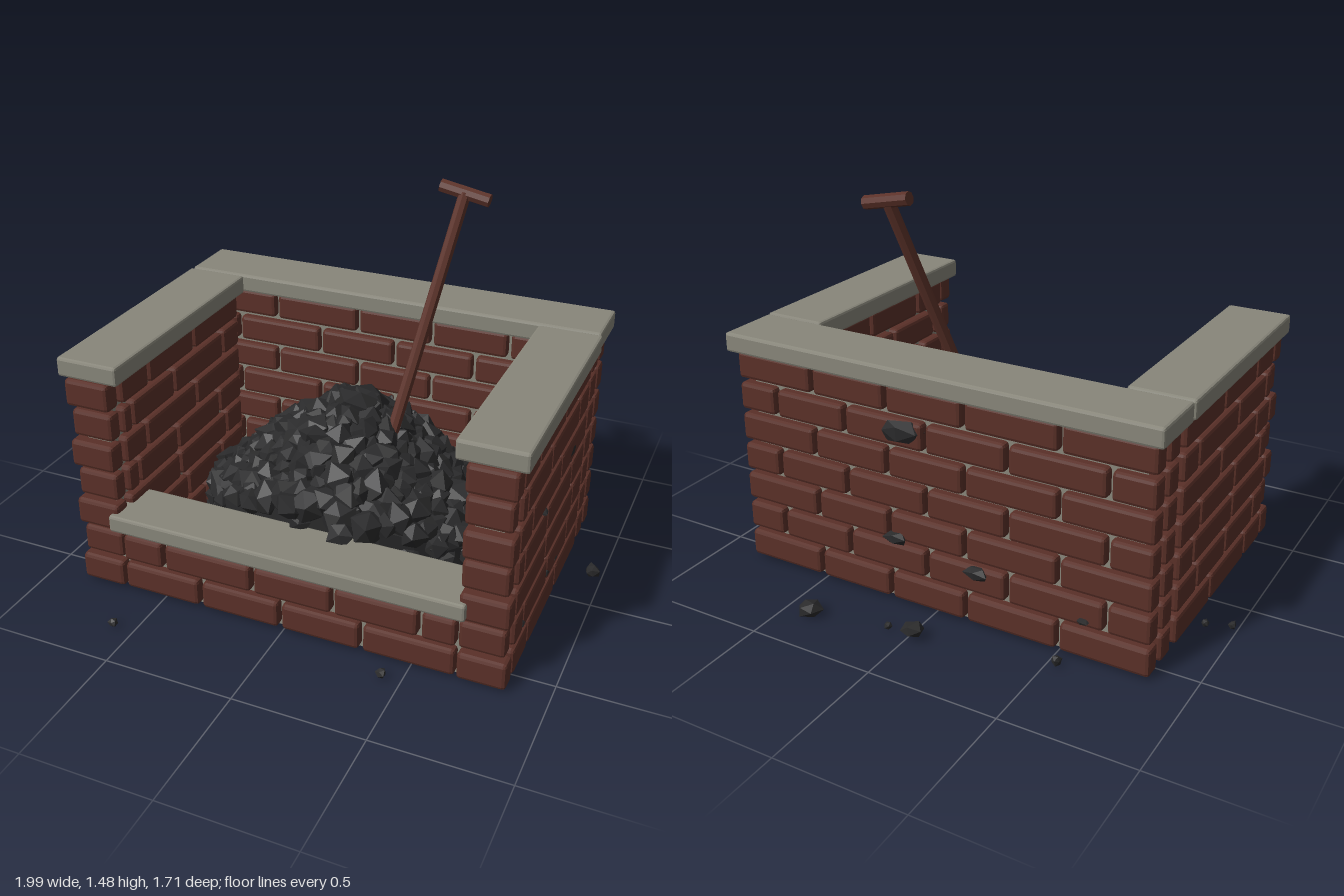
import * as THREE from 'three';
import { RoundedBoxGeometry } from 'three/addons/geometries/RoundedBoxGeometry.js';

export function createModel() {
  const root = new THREE.Group();
  root.name = 'coalBunker';
  const mat = (name, color, flatShading = true) =>
    Object.assign(new THREE.MeshStandardMaterial({ color, flatShading }), { name });
  const brickMat = mat('brick', 0x5a3028);
  const stoneMat = mat('stone', 0x88867a);
  const coalMat = mat('coal', 0x2a2a2b);
  const woodMat = mat('wood', 0x5c3229);

  let seed = 7;
  const rand = () => (seed = (seed * 16807) % 2147483647) / 2147483647;
  const range = (a, b) => a + (b - a) * rand();

  const group = (name) => {
    const g = new THREE.Group();
    g.name = name;
    root.add(g);
    return g;
  };
  // Box given by its limits, with an optional bevel
  const box = (parent, name, material, x0, x1, y0, y1, z0, z1, bevel = 0) => {
    const w = x1 - x0, h = y1 - y0, d = z1 - z0;
    const geo = bevel ? new RoundedBoxGeometry(w, h, d, 1, bevel) : new THREE.BoxGeometry(w, h, d);
    const m = new THREE.Mesh(geo, material);
    m.name = name;
    m.position.set((x0 + x1) / 2, (y0 + y1) / 2, (z0 + z1) / 2);
    parent.add(m);
  };

  // One course of bricks between joints, running along x or z
  const GAP = 0.008, PITCH = 0.125;
  const course = (parent, row, joints, axis, t0, t1) => {
    const y0 = 0.01 + row * PITCH, y1 = y0 + 0.107;
    const j = [...joints].sort((a, b) => a - b);
    for (let i = 0; i < j.length - 1; i++) {
      const a = j[i] + GAP, b = j[i + 1] - GAP;
      if (axis === 'x') box(parent, 'brick', brickMat, a, b, y0, y1, t0, t1, 0.014);
      else box(parent, 'brick', brickMat, t0, t1, y0, y1, a, b, 0.014);
    }
  };

  // Back wall: two brick skins around a mortar core
  const back = group('backWall');
  box(back, 'mortar', stoneMat, -0.8, 0.8, 0, 0.875, -0.55, -0.435);
  const backJoints = [
    [-0.855, -0.5, -0.13, 0.19, 0.51, 0.855],
    [-0.855, -0.68, -0.3, 0.03, 0.37, 0.68, 0.855],
  ];
  for (let r = 0; r < 7; r++) {
    course(back, r, backJoints[r % 2], 'x', -0.48, -0.4);
    course(back, r, backJoints[r % 2], 'x', -0.588, -0.515);
  }

  // Side walls: two skins plus a brick across the front end
  const sideJoints = [
    [0.53, 0.34, -0.03, -0.365],
    [0.53, 0.415, 0.11, -0.175, -0.365],
    [0.53, 0.16, -0.225, -0.365],
    [0.53, 0.45, 0.165, -0.175, -0.365],
    [0.53, 0.38, 0.005, -0.365],
    [0.53, 0.465, 0.165, -0.225, -0.365],
    [0.53, 0.34, 0.005, -0.365],
  ];
  for (const s of [1, -1]) {
    const side = group(s > 0 ? 'leftWall' : 'rightWall');
    const span = (a, b) => (s > 0 ? [a, b] : [-b, -a]);
    box(side, 'mortar', stoneMat, ...span(0.7, 0.8), 0, 0.875, -0.365, 0.568);
    sideJoints.forEach((joints, r) => {
      course(side, r, joints, 'z', ...span(0.77, 0.85));
      course(side, r, joints, 'z', ...span(0.66, 0.74));
      const inset = (r % 2) * 0.012;
      const y = 0.01 + r * PITCH;
      box(side, 'endBrick', brickMat, ...span(0.67, 0.85 - inset), y, y + 0.107, 0.54, 0.613 - inset, 0.014);
    });
    box(side, 'capStone', stoneMat, ...span(0.63, 0.878), 0.87, 0.945, -0.366, 0.605, 0.01);
  }
  box(back, 'capStone', stoneMat, -0.875, 0.87, 0.87, 0.945, -0.62, -0.373, 0.01);

  // Low front wall with sill
  const front = group('frontWall');
  box(front, 'mortar', stoneMat, -0.7, 0.7, 0, 0.27, 0.46, 0.568);
  const frontJoints = [
    [-0.67, -0.34, -0.01, 0.31, 0.67],
    [-0.67, -0.49, -0.12, 0.2, 0.53, 0.67],
  ];
  frontJoints.forEach((joints, r) => {
    course(front, r, joints, 'x', 0.535, 0.608);
    course(front, r, joints, 'x', 0.425, 0.5);
  });
  box(front, 'sill', stoneMat, -0.7, 0.7, 0.268, 0.337, 0.402, 0.635, 0.01);

  box(root, 'floor', coalMat, -0.68, 0.68, 0.004, 0.03, -0.42, 0.45);

  // A few irregular lump shapes, shared by all coal
  const lumps = Array.from({ length: 8 }, () => {
    const g = new THREE.IcosahedronGeometry(1, 0);
    const p = g.attributes.position, seen = new Map();
    for (let i = 0; i < p.count; i++) {
      const key = [p.getX(i), p.getY(i), p.getZ(i)].map((v) => Math.round(v * 100)).join();
      if (!seen.has(key)) seen.set(key, range(0.72, 1.15));
      const k = seen.get(key);
      p.setXYZ(i, p.getX(i) * k, p.getY(i) * k, p.getZ(i) * k);
    }
    g.computeVertexNormals();
    return g;
  });
  const lump = (parent, x, y, z, sx, sy = sx, sz = sx, turn = Math.PI) => {
    const m = new THREE.Mesh(lumps[Math.floor(rand() * 8)], coalMat);
    m.name = 'coalLump';
    m.position.set(x, y, z);
    m.scale.set(sx, sy, sz);
    m.rotation.set(range(-turn, turn), range(-turn, turn), range(-turn, turn));
    parent.add(m);
  };

  // Heap: solid core covered by lumps
  const heap = group('coalHeap');
  const height = (x, z) => 0.69 - 0.48 * Math.min(1.1, Math.hypot(x / 0.58, z / 0.62)) ** 1.3;
  const core = new THREE.LatheGeometry(
    [[1, 0], [1, 1], [0.75, 1], [0.5, 1], [0.25, 1], [0, 1]].map((q) => new THREE.Vector2(...q)), 24);
  core.scale(0.55, 1, 0.4);
  const cp = core.attributes.position;
  for (let i = 0; i < cp.count; i++) {
    if (cp.getY(i) > 0.5) cp.setY(i, height(cp.getX(i), cp.getZ(i)) - 0.02);
    else cp.setY(i, 0.02);
  }
  const coreMesh = new THREE.Mesh(core, coalMat);
  coreMesh.name = 'heapCore';
  heap.add(coreMesh);
  const N = 230;
  for (let i = 0; i < N; i++) {
    const r = Math.sqrt((i + 0.5) / N), a = i * 2.39996;
    const x = 0.54 * r * Math.cos(a), z = Math.max(-0.36, 0.4 * r * Math.sin(a));
    const s = range(0.05, 0.085);
    lump(heap, x, height(x, z) - 0.03, z, s, s * range(0.6, 1), s * range(0.8, 1.2));
  }
  for (const y of [0.07, 0.17, 0.27]) {
    for (let i = 0; i < 26; i++) {
      const a = ((i + y * 5) / 26) * Math.PI * 2;
      const z = Math.max(-0.35, Math.min(0.37, 0.4 * Math.sin(a)));
      lump(heap, 0.53 * Math.cos(a), Math.min(y, height(0.5, z)), z, range(0.05, 0.075));
    }
  }
  lump(heap, 0.16, 0.355, 0.42, 0.06);
  lump(heap, -0.02, 0.355, 0.4, 0.05);

  // Loose pieces on the ground
  const loose = group('looseCoal');
  [[-0.982, -0.15, 0.017], [-0.89, -0.185, 0.016], [0.963, -0.175, 0.035], [-0.015, -0.755, 0.048],
    [0.09, -0.755, 0.016], [0.39, -0.82, 0.05], [-0.535, -0.655, 0.021], [0.43, 0.7, 0.021], [-0.58, 0.83, 0.02],
  ].forEach(([x, z, r]) => lump(loose, x, Math.min(r, 0.032), z, r, Math.min(r, 0.032), r, 0.3));

  // Coal bedded in the outer brick faces
  const bedded = group('beddedCoal');
  [[-0.15, 0.55, 0.09], [0.42, 0.16, 0.025], [0.1, 0.165, 0.035], [-0.01, 0.165, 0.03], [0.2, 0.49, 0.025]]
    .forEach(([z, y, r]) => lump(bedded, 0.84, y, z, 0.016, r * 0.5, r, 0.1));
  [[0.13, 0.7, 0.1], [0.16, 0.27, 0.06], [-0.18, 0.22, 0.06], [-0.6, 0.16, 0.025]]
    .forEach(([x, y, r]) => lump(bedded, x, y, -0.585, r, r * 0.5, 0.03, 0.1));

  // Shovel stuck into the heap
  const shovel = group('shovel');
  const rod = (name, a, b, radius) => {
    const from = new THREE.Vector3(...a), to = new THREE.Vector3(...b);
    const dir = to.clone().sub(from);
    const m = new THREE.Mesh(new THREE.CylinderGeometry(radius, radius, dir.length(), 8), woodMat);
    m.name = name;
    m.position.copy(from).add(to).multiplyScalar(0.5);
    m.quaternion.setFromUnitVectors(new THREE.Vector3(0, 1, 0), dir.normalize());
    shovel.add(m);
  };
  rod('handle', [0.18, 0.52, 0.025], [0.333, 1.44, -0.315], 0.024);
  rod('grip', [0.238, 1.457, -0.318], [0.428, 1.42, -0.318], 0.026);

  return root;
}
